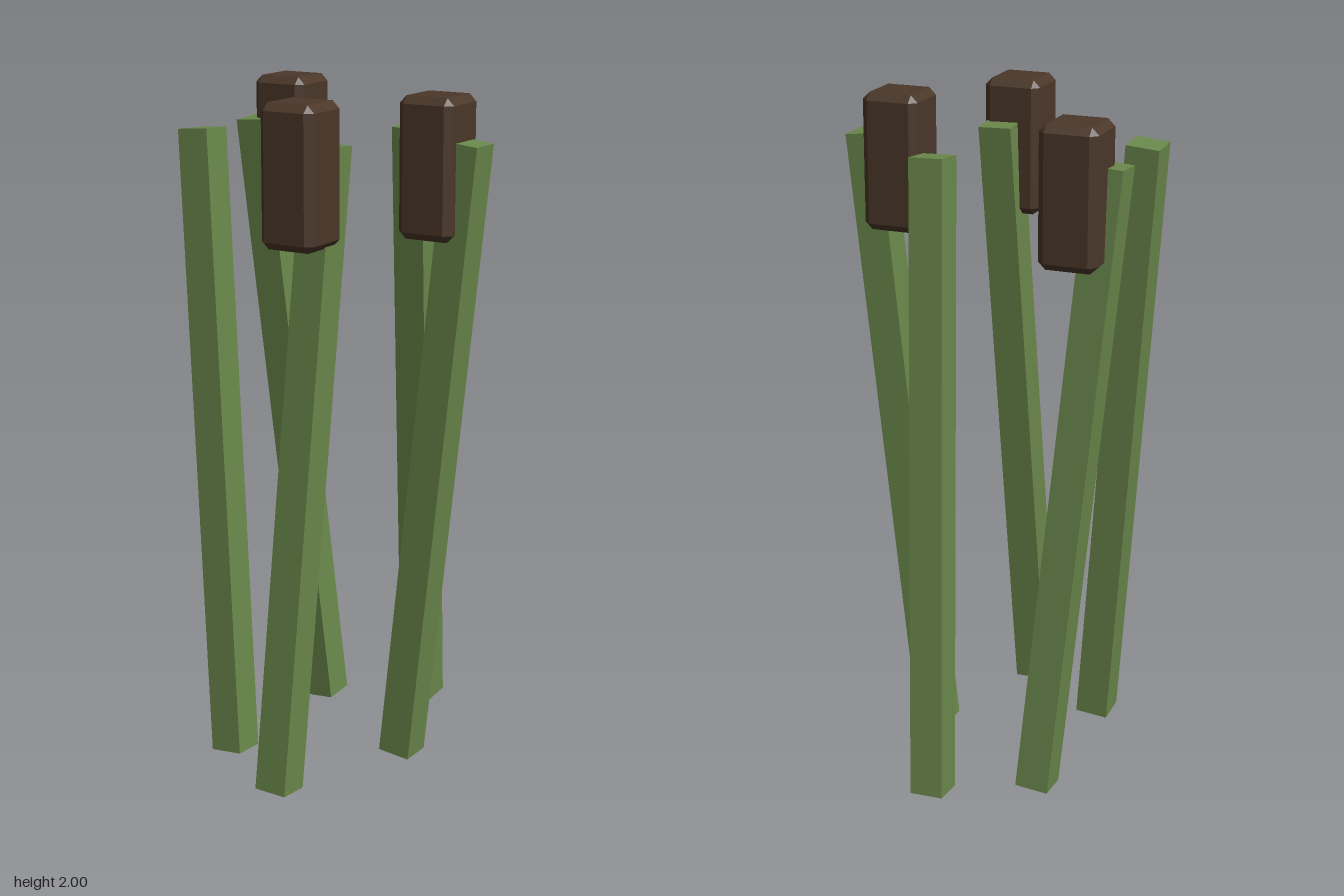
import * as THREE from 'three';
import { ConvexGeometry } from 'three/addons/geometries/ConvexGeometry.js';

const green = new THREE.MeshStandardMaterial({ color: 0x6a884b, flatShading: true });
const brown = new THREE.MeshStandardMaterial({ color: 0x4a3729, flatShading: true });

// Box with every edge and corner cut by a flat chamfer
function chamferedBox(w, h, d, c) {
  const points = [];
  for (const x of [-w / 2, w / 2]) for (const y of [-h / 2, h / 2]) for (const z of [-d / 2, d / 2]) {
    const cx = Math.sign(x) * c, cy = Math.sign(y) * c, cz = Math.sign(z) * c;
    points.push(
      new THREE.Vector3(x, y - cy, z - cz),
      new THREE.Vector3(x - cx, y, z - cz),
      new THREE.Vector3(x - cx, y - cy, z));
  }
  return new ConvexGeometry(points);
}

// Each reed: ground centre [x, z], tip centre [x, z], whether it carries a seed head
const reeds = [
  { name: 'leftReed', foot: [0.2, -0.004], tip: [0.4, -0.004], head: true },
  { name: 'frontReed', foot: [0.03, 0.418], tip: [0.084, 0.23], head: true },
  { name: 'rightFrontReed', foot: [-0.24, 0.248], tip: [-0.4, 0.136], head: false },
  { name: 'rightBackReed', foot: [-0.234, -0.267], tip: [-0.391, -0.15], head: true },
  { name: 'backReed', foot: [0.038, -0.42], tip: [0.098, -0.234], head: false },
];

export function createModel() {
  const model = new THREE.Group();
  model.name = 'reeds';
  const headGeometry = chamferedBox(0.17, 0.4, 0.17, 0.021);
  const up = new THREE.Vector3(0, 1, 0);

  for (const { name, foot, tip, head } of reeds) {
    const reed = new THREE.Group();
    reed.name = name;

    // Square stalk leaning from foot to tip
    const a = new THREE.Vector3(foot[0], 0.008, foot[1]);
    const b = new THREE.Vector3(tip[0], 1.874, tip[1]);
    const stalk = new THREE.Mesh(new THREE.BoxGeometry(0.1, a.distanceTo(b), 0.1), green);
    stalk.name = 'stalk';
    stalk.position.copy(a).lerp(b, 0.5);
    stalk.quaternion.setFromUnitVectors(up, b.clone().sub(a).normalize());
    reed.add(stalk);

    // Upright seed head above the middle of the stalk
    if (head) {
      const seedHead = new THREE.Mesh(headGeometry, brown);
      seedHead.name = 'seedHead';
      seedHead.position.set(stalk.position.x, 1.8, stalk.position.z);
      reed.add(seedHead);
    }
    model.add(reed);
  }
  return model;
}
